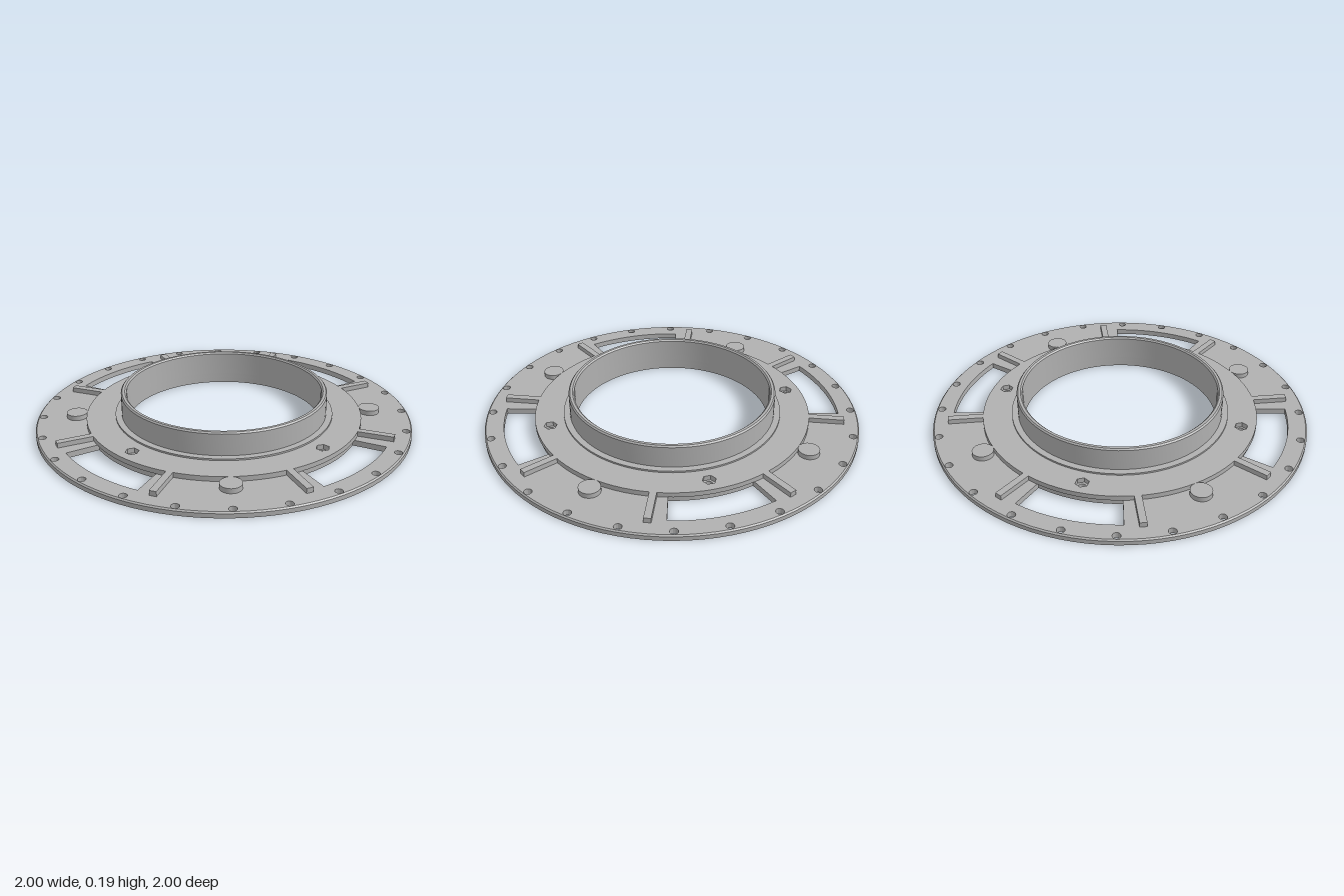
import * as THREE from 'three';
import { toCreasedNormals } from 'three/addons/utils/BufferGeometryUtils.js';

const BORE = 0.52, PLATE_TOP = 0.03, RING_TOP = 0.056;

// Closed outlines, used both as solids and as holes
function circle(r, x = 0, y = 0, type = THREE.Path) {
  const p = new type();
  p.absarc(x, y, r, 0, Math.PI * 2, false);
  return p;
}
function hexagon(r, x = 0, y = 0) {
  const pts = [];
  for (let i = 0; i < 6; i++) {
    const a = i * Math.PI / 3;
    pts.push(new THREE.Vector2(x + r * Math.cos(a), y + r * Math.sin(a)));
  }
  return new THREE.Path(pts);
}
function arcWindow(r0, r1, mid, half) {
  const p = new THREE.Path();
  p.absarc(0, 0, r1, mid - half, mid + half, false);
  p.absarc(0, 0, r0, mid + half, mid - half, true);
  p.closePath();
  return p;
}

// Lay a shape flat and raise it from y0 to y1
function slab(shape, y0, y1, curveSegments = 48) {
  const g = new THREE.ExtrudeGeometry(shape, { depth: y1 - y0, bevelEnabled: false, curveSegments });
  g.rotateX(-Math.PI / 2);
  g.translate(0, y0, 0);
  return toCreasedNormals(g, 0.5);
}
function turned(points) {
  const pts = points.map(([r, y]) => new THREE.Vector2(r, y));
  return toCreasedNormals(new THREE.LatheGeometry(pts, 96), 0.5);
}

export function createModel() {
  const group = new THREE.Group();
  const grey = new THREE.MeshStandardMaterial({ color: 0xb0b0b0 });
  grey.name = 'plain grey';
  const add = (name, geometry) => {
    const m = new THREE.Mesh(geometry, grey);
    m.name = name;
    group.add(m);
    return m;
  };

  // Base plate with bore, rim holes, windows, screw holes and hex pockets
  const plate = circle(0.993, 0, 0, THREE.Shape);
  plate.holes.push(circle(BORE));
  for (let i = 0; i < 24; i++) {
    const a = i * Math.PI / 12;
    plate.holes.push(circle(0.02, 0.97 * Math.cos(a), 0.97 * Math.sin(a)));
  }
  for (let i = 0; i < 4; i++) {
    const a = i * Math.PI / 2, d = a + Math.PI / 4;
    plate.holes.push(arcWindow(0.725, 0.9, a, 0.297));
    plate.holes.push(circle(0.02, 0.66 * Math.cos(a), 0.66 * Math.sin(a)));
    plate.holes.push(hexagon(0.034, 0.79 * Math.cos(d), 0.79 * Math.sin(d)));
  }
  add('basePlate', slab(plate, 0, PLATE_TOP));

  // Chamfered outer rim
  add('plateRim', turned([[0.993, 0], [1, 0], [1, 0.023], [0.993, PLATE_TOP]]));

  // Raised ring with hexagonal nut recesses
  const ring = circle(0.735, 0, 0, THREE.Shape);
  ring.holes.push(circle(BORE));
  for (let i = 0; i < 4; i++) {
    const a = i * Math.PI / 2;
    ring.holes.push(hexagon(0.035, 0.66 * Math.cos(a), 0.66 * Math.sin(a)));
  }
  add('raisedRing', slab(ring, PLATE_TOP, RING_TOP));

  // Central collar with a low foot and chamfered lip
  add('collar', turned([
    [0.582, RING_TOP], [0.582, 0.065], [0.549, 0.065], [0.549, 0.18], [0.542, 0.188],
    [0.528, 0.188], [BORE, 0.18], [BORE, RING_TOP],
  ]));

  // Radial ribs on both sides of every window
  for (let i = 0; i < 8; i++) {
    const a = Math.PI / 8 + i * Math.PI / 4;
    const rib = add('rib', new THREE.BoxGeometry(0.2, 0.027, 0.036));
    rib.position.set(0.82 * Math.cos(a), PLATE_TOP + 0.0125, 0.82 * Math.sin(a));
    rib.rotation.y = -a;
  }

  // Round bosses, hollowed by the hex pockets from below
  for (let i = 0; i < 4; i++) {
    const a = Math.PI / 4 + i * Math.PI / 2;
    const wall = circle(0.055, 0, 0, THREE.Shape);
    wall.holes.push(hexagon(0.034));
    const x = 0.79 * Math.cos(a), z = 0.79 * Math.sin(a);
    add('bossWall', slab(wall, PLATE_TOP, 0.045, 16)).position.set(x, 0, z);
    add('bossCap', slab(circle(0.055, 0, 0, THREE.Shape), 0.045, RING_TOP, 16)).position.set(x, 0, z);
  }
  return group;
}
